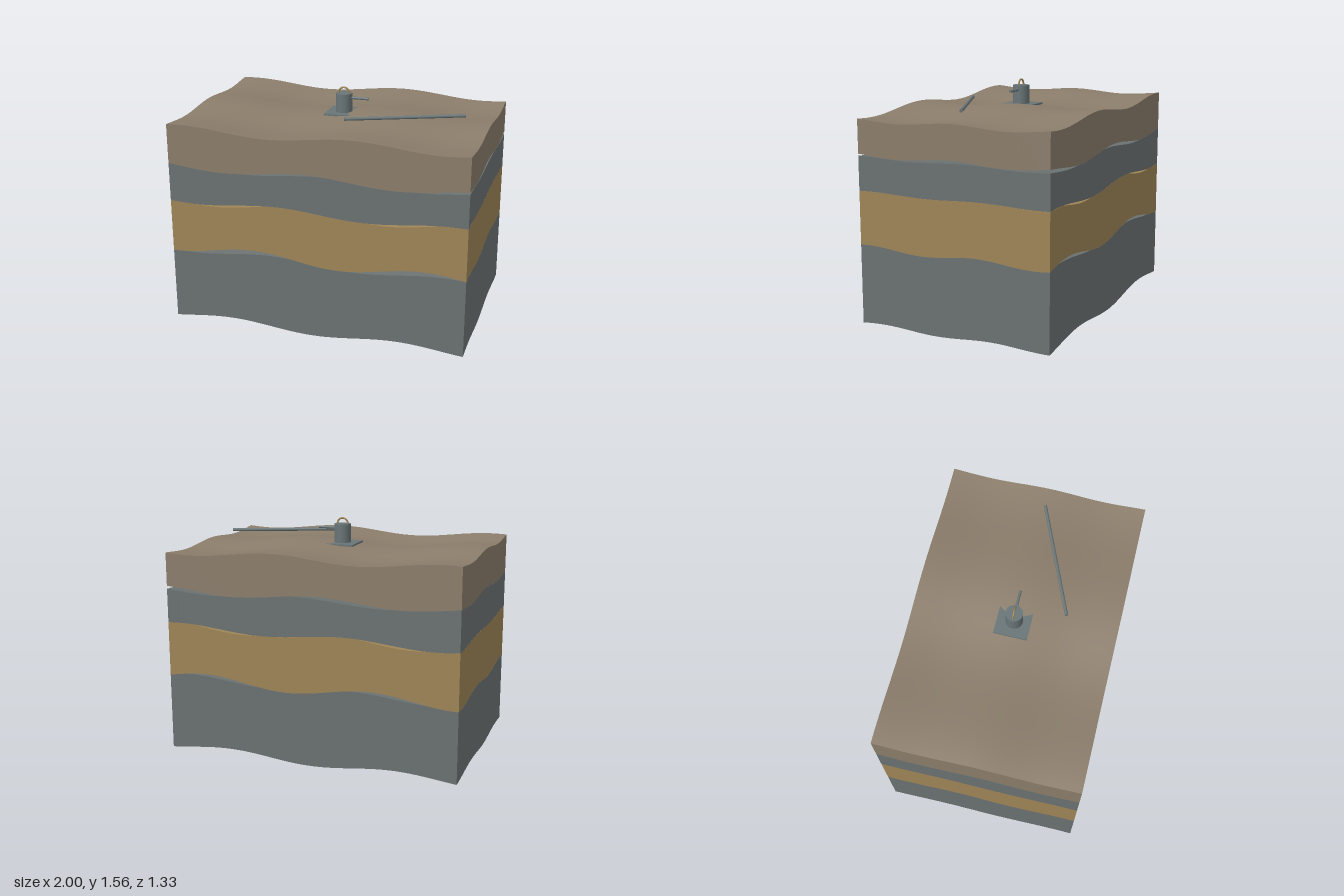
import * as THREE from 'three';

const WIDTH = 2, DEPTH = 1.33, WAVE_X = 1.15, WAVE_Z = 0.77;

function createMaterial(name, color) {
  const m = new THREE.MeshStandardMaterial({ color });
  m.name = name;
  return m;
}

// Rolling surface: mean height plus one wave along x and one along z
const wave = (mean, ampX, peakX, ampZ, peakZ) => (x, z) =>
  mean + ampX * Math.cos((x - peakX) * 2 * Math.PI / WAVE_X)
       + ampZ * Math.cos((z - peakZ) * 2 * Math.PI / WAVE_Z);

// Block whose lower and upper faces follow two surfaces
function stratum(name, bottom, top, material) {
  const g = new THREE.BoxGeometry(WIDTH, 1, DEPTH, 64, 1, 44);
  const p = g.attributes.position;
  for (let i = 0; i < p.count; i++) {
    const surface = p.getY(i) > 0 ? top : bottom;
    p.setY(i, surface(p.getX(i), p.getZ(i)));
  }
  g.computeVertexNormals();
  const mesh = new THREE.Mesh(g, material);
  mesh.name = name;
  return mesh;
}

// Straight round bar between two points
function bar(name, from, to, radius, material, sides = 16) {
  const a = new THREE.Vector3(...from), b = new THREE.Vector3(...to);
  const mesh = new THREE.Mesh(new THREE.CylinderGeometry(radius, radius, a.distanceTo(b), sides), material);
  mesh.position.copy(a).lerp(b, 0.5);
  mesh.quaternion.setFromUnitVectors(new THREE.Vector3(0, 1, 0), b.clone().sub(a).normalize());
  mesh.name = name;
  return mesh;
}

export function createModel() {
  const model = new THREE.Group();
  model.name = 'groundBlock';

  const soil = createMaterial('soil brown', 0x8b7d6b);
  const rock = createMaterial('rock grey', 0x6b7272);
  const sand = createMaterial('sand gold', 0x9f8557);
  const metal = createMaterial('metal grey', 0x697577);

  // Strata from the bottom up
  const layers = [
    { name: 'bedrockLayer', material: rock,
      bottom: wave(0.032, 0.022, 0.56, 0.01, 0.5), top: wave(0.531, 0.021, -0.3, 0.01, 0.47) },
    { name: 'sandLayer', material: sand,
      bottom: wave(0.528, 0.033, -0.42, 0.015, 0.6), top: wave(0.8855, 0.03, -0.12, 0.008, 0.47) },
    { name: 'capRockLayer', material: rock,
      bottom: wave(0.876, 0.02, -0.25, 0.006, 0.57), top: wave(1.1125, 0.018, 0.09, 0.007, -0.1) },
    { name: 'soilLayer', material: soil,
      bottom: wave(1.11, 0.022, -0.05, 0.012, 0), top: wave(1.3655, 0.0225, 0.25, 0.012, 0) },
  ];
  layers.forEach(({ name, material, bottom, top }, i) => {
    // A layer never pokes into the one above it; gaps are left open
    const above = layers[i + 1];
    const upper = above ? (x, z) => Math.min(top(x, z), above.bottom(x, z) - 0.0005) : top;
    model.add(stratum(name, bottom, upper, material));
  });

  // Wellhead: base plate, casing, outlet pipe and lifting ring
  const wellhead = new THREE.Group();
  wellhead.name = 'wellhead';
  const plate = new THREE.Mesh(new THREE.BoxGeometry(0.22, 0.012, 0.22), metal);
  plate.name = 'basePlate';
  plate.position.set(0, 1.38, -0.003);
  const ring = new THREE.Mesh(new THREE.TorusGeometry(0.038, 0.006, 10, 32), sand);
  ring.name = 'liftingRing';
  ring.position.y = 1.512;
  wellhead.add(
    plate,
    bar('casing', [0, 1.375, 0], [0, 1.512, 0], 0.056, metal, 32),
    bar('outletPipe', [0, 1.482, 0], [0.17, 1.482, 0], 0.009, metal),
    ring,
  );
  model.add(wellhead);

  // Loose pipe lying above the ground
  model.add(bar('loosePipe', [0.1, 1.425, 0.32], [0.835, 1.425, 0.01], 0.011, metal));

  return model;
}
